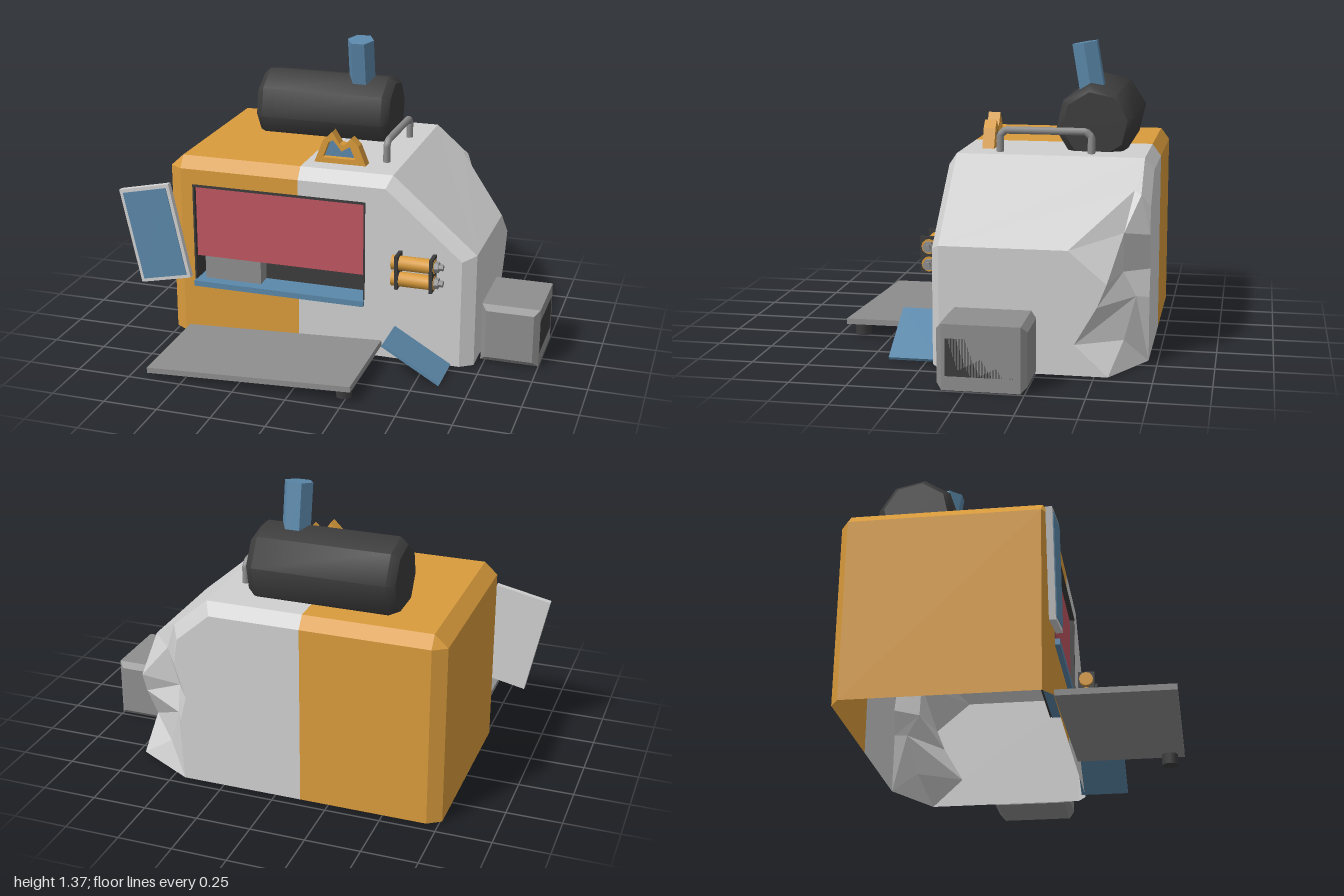
import * as THREE from 'three';
import { toCreasedNormals } from 'three/addons/utils/BufferGeometryUtils.js';

const mat = (name, color) => Object.assign(
  new THREE.MeshStandardMaterial({ color, side: THREE.DoubleSide }), { name });

export function createModel() {
  const orange = mat('orange', 0xd99b3c), light = mat('light grey', 0xd0d0d0),
    grey = mat('mid grey', 0x8e8e8e), dark = mat('charcoal', 0x3c3c3c),
    blue = mat('steel blue', 0x5b88aa), red = mat('red', 0xbe5561);
  const model = new THREE.Group();
  model.name = 'foodStand';

  const add = (name, geo, m, x = 0, y = 0, z = 0, parent = model) => {
    const mesh = new THREE.Mesh(geo, m);
    mesh.name = name;
    mesh.position.set(x, y, z);
    parent.add(mesh);
    return mesh;
  };
  // box given by its minimum and maximum on each axis
  const box = (name, m, x0, x1, y0, y1, z0, z1, parent) =>
    add(name, new THREE.BoxGeometry(x1 - x0, y1 - y0, z1 - z0), m,
      (x0 + x1) / 2, (y0 + y1) / 2, (z0 + z1) / 2, parent);

  // flat polygons joined into one shell, each turned away from the body's middle
  const middle = new THREE.Vector3(0, 0.4, -0.25);
  function shell(name, m, polygons) {
    const pos = [];
    for (const poly of polygons) {
      const p = poly.map(a => new THREE.Vector3(...a));
      const n = new THREE.Vector3();
      p.forEach((a, i) => n.add(a.clone().cross(p[(i + 1) % p.length])));
      const [ax, ay, az] = n.toArray().map(Math.abs);
      const flat = p.map(v => ax >= ay && ax >= az ? new THREE.Vector2(v.y, v.z)
        : ay >= az ? new THREE.Vector2(v.z, v.x) : new THREE.Vector2(v.x, v.y));
      for (const t of THREE.ShapeUtils.triangulateShape(flat, [])) {
        const [a, b, c] = t.map(i => p[i]);
        const tn = b.clone().sub(a).cross(c.clone().sub(a));
        const out = tn.dot(a.clone().sub(middle)) >= 0;
        for (const v of out ? [a, b, c] : [a, c, b]) pos.push(v.x, v.y, v.z);
      }
    }
    const g = new THREE.BufferGeometry();
    g.setAttribute('position', new THREE.Float32BufferAttribute(pos, 3));
    g.computeVertexNormals();
    return add(name, g, m);
  }
  const at = (list, z) => list.map(([x, y]) => [x, y, z]);
  const strip = (a, b) => a.slice(1).map((_, i) => [a[i], a[i + 1], b[i + 1], b[i]]);

  // Body: full and inset outlines joined by chamfers, open underneath
  const zs = [-0.71, -0.67, 0.17, 0.21], S = -0.12;
  const leftFull = [[-0.76, 0.01], [-0.76, 0.835], [-0.7, 0.89], [S, 0.89]];
  const leftIn = [[-0.7, 0.01], [-0.7, 0.834], [-0.699, 0.835], [S, 0.835]];
  const left = zs.map((z, i) => at(i % 3 ? leftFull : leftIn, z));
  const frontLeft = [[-0.7, 0.01], [-0.7, 0.835], [S, 0.835], [S, 0.76],
    [-0.64, 0.76], [-0.64, 0.26], [S, 0.26], [S, 0.01]];
  shell('bodyOrangeHalf', orange, [
    ...strip(left[0], left[1]), ...strip(left[1], left[2]), ...strip(left[2], left[3]),
    [...left[0], [S, 0.01, -0.71]], at(frontLeft, 0.21)]);

  const rightFull = at([[S, 0.89], [0.32, 0.89], [0.715, 0.55], [0.715, 0.01]], 0.17);
  const rightIn = at([[S, 0.835], [0.295, 0.835], [0.655, 0.525], [0.655, 0.01]], 0.21);
  const frontRight = [[S, 0.01], [S, 0.26], [0.2, 0.26], [0.2, 0.76], [S, 0.76],
    [S, 0.835], [0.295, 0.835], [0.655, 0.525], [0.655, 0.01]];
  // chains of points round the crumpled rear corner
  const T = [0.48, 0.752, -0.67], A = [0.46, 0.77, -0.64], B = [0.715, 0.55, -0.385],
    C = [0.715, 0.41, -0.55], D = [0.715, 0.31, -0.51], E = [0.715, 0.145, -0.415],
    F = [0.715, 0.01, -0.56];
  const dent = [T, [0.55, 0.6, -0.605], [0.5, 0.42, -0.6], [0.485, 0.31, -0.655], [0.55, 0.13, -0.61]];
  const rear = at([[0.45, 0.7], [0.47, 0.58], [0.42, 0.42], [0.45, 0.3], [0.44, 0.01]], -0.71);
  const [, R1, R2, R3, R4] = dent;
  const topBack = at([[S, 0.89], [0.32, 0.89]], -0.67), topRear = at([[S, 0.835], [0.295, 0.835]], -0.71);
  shell('bodyGreyHalf', light, [
    at(frontRight, 0.21), ...strip(rightFull, rightIn),
    [rightFull[0], rightFull[1], topBack[1], topBack[0]],
    [rightFull[1], rightFull[2], B, A, T, topBack[1]],
    [rightFull[2], rightFull[3], F, E, D, C, B],
    ...strip(topBack, topRear), [topBack[1], T, rear[0], topRear[1]],
    [[S, 0.01, -0.71], ...topRear, ...rear]]);
  shell('crumpledCorner', light, [
    [T, A, R1], [A, B, R1], [B, C, R1], [C, R2, R1], [C, D, R2], [D, R3, R2],
    [D, E, R3], [E, R4, R3], [E, F, R4], [R4, F, rear[4]],
    ...strip(dent, rear).flatMap(([a, b, c, d]) => [[a, b, c], [a, c, d]])]);

  // Serving hatch
  const hatch = new THREE.Group();
  hatch.name = 'servingHatch';
  model.add(hatch);
  box('hatchBack', dark, -0.64, 0.2, 0.26, 0.76, 0.09, 0.1, hatch);
  box('hatchTop', dark, -0.64, 0.2, 0.75, 0.762, 0.1, 0.212, hatch);
  for (const x of [-0.642, 0.194]) box('hatchSide', dark, x, x + 0.008, 0.285, 0.76, 0.1, 0.211, hatch);
  box('shutter', red, -0.634, 0.194, 0.4, 0.75, 0.18, 0.19, hatch);
  box('counter', blue, -0.64, 0.2, 0.257, 0.284, 0.1, 0.232, hatch);
  box('counterAppliance', grey, -0.6, -0.32, 0.284, 0.4, 0.1, 0.178, hatch);

  // Smoker barrel on the roof, with a leaning chimney
  const lean = 0.17;
  const profile = [[0, -0.335], [0.15, -0.335], [0.182, -0.3], [0.182, 0.3], [0.15, 0.335], [0, 0.335]]
    .map(p => new THREE.Vector2(...p));
  const barrelGeo = new THREE.LatheGeometry(profile, 8).rotateZ(Math.PI / 2).rotateX(lean);
  add('smokerBarrel', toCreasedNormals(barrelGeo, 0.81), dark, -0.165, 1.01, -0.43);
  const chimney = new THREE.CylinderGeometry(0.065, 0.065, 0.3, 6).rotateY(Math.PI / 2).rotateX(lean);
  add('chimney', toCreasedNormals(chimney, 0.4), blue, 0.005, 1.222, -0.39);

  // Jagged roof ornament with a blue inset
  const shape = pts => new THREE.Shape(pts.map(p => new THREE.Vector2(...p)));
  const crown = shape([[-0.085, 0.88], [-0.04, 0.995], [0.005, 1.04], [0.04, 0.985],
    [0.062, 0.98], [0.095, 1.015], [0.13, 0.98], [0.17, 0.88]]);
  const inner = [[-0.04, 0.915], [-0.012, 0.99], [0.01, 1.0], [0.05, 0.95], [0.09, 0.975], [0.115, 0.915]];
  crown.holes.push(shape(inner));
  add('roofOrnament', new THREE.ExtrudeGeometry(crown, { depth: 0.055, bevelEnabled: false }), orange, 0, 0, 0.03);
  add('ornamentInset', new THREE.ExtrudeGeometry(shape(inner), { depth: 0.009, bevelEnabled: false }), blue, 0, 0, 0.045);

  // Roof handrail
  const rail = new THREE.CurvePath();
  const rp = [[0.87, -0.012], [0.965, -0.012], [0.988, -0.035], [0.988, -0.402], [0.965, -0.425], [0.87, -0.425]]
    .map(([y, z]) => new THREE.Vector3(0.238, y, z));
  for (let i = 1; i < rp.length; i++) rail.add(new THREE.LineCurve3(rp[i - 1], rp[i]));
  add('roofRail', new THREE.TubeGeometry(rail, 60, 0.017, 8), grey);

  // Tilted menu board
  const board = new THREE.Group();
  board.name = 'menuBoard';
  board.position.set(-0.828, 0.505, 0.231);
  board.rotation.z = 0.21;
  model.add(board);
  box('boardFrame', light, -0.13, 0.13, -0.235, 0.235, -0.014, 0.014, board);
  box('boardFace', blue, -0.113, 0.113, -0.218, 0.218, 0.012, 0.018, board);

  // Gas bottles held by two clamps
  for (const y of [0.428, 0.506]) {
    const rod = (name, m, r, x0, x1, n) => add(name, toCreasedNormals(
      new THREE.CylinderGeometry(r, r, x1 - x0, n).rotateZ(Math.PI / 2), 0.9), m, (x0 + x1) / 2, y, 0.25);
    rod('gasBottle', orange, 0.034, 0.342, 0.54, 12);
    rod('bottleNeck', grey, 0.026, 0.54, 0.56, 6);
    rod('bottleValve', grey, 0.015, 0.56, 0.58, 6);
  }
  for (const x of [0.37, 0.53]) box('bottleClamp', dark, x - 0.008, x + 0.008, 0.39, 0.55, 0.205, 0.29);

  // Side unit with chamfered edges and a dark vent
  const c = 0.025, w = 0.27, h = 0.28, d = 0.38;
  const side = shape([[-w / 2 + c, -h / 2 + c], [w / 2 - c, -h / 2 + c], [w / 2 - c, h / 2 - c], [-w / 2 + c, h / 2 - c]]);
  const unit = new THREE.ExtrudeGeometry(side,
    { depth: d - 2 * c, bevelSize: c, bevelThickness: c, bevelSegments: 1 }).translate(0, 0, -d / 2 + c);
  add('sideUnit', unit, grey, 0.865, 0.15, -0.07);
  box('sideUnitVent', dark, 0.995, 1.0, 0.07, 0.23, -0.22, 0.08);

  // Sloping deck with its foot, and the blue ramp
  const deck = box('deck', grey, -0.68, 0.285, 0.04, 0.066, 0.21, 0.707);
  deck.rotation.z = 0.052;
  add('deckFoot', new THREE.CylinderGeometry(0.037, 0.037, 0.055, 8), dark, 0.237, 0.038, 0.64);
  const ramp = add('ramp', new THREE.BoxGeometry(0.31, 0.014, 0.225), blue, 0.478, 0.09, 0.307);
  ramp.rotation.z = -0.53;

  return model;
}
